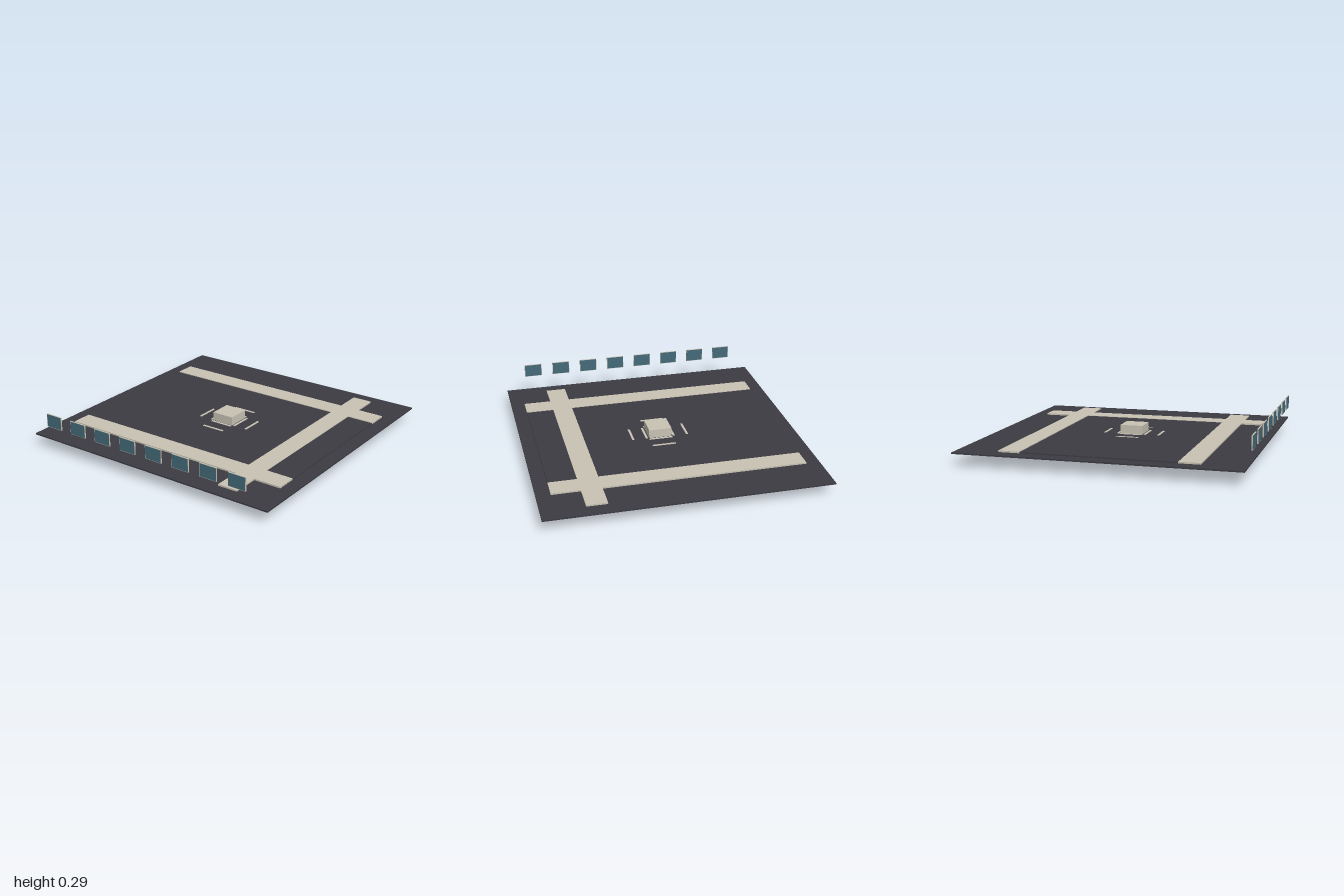
import * as THREE from 'three';

export function createModel() {
  const model = new THREE.Group();
  model.name = 'plaza';

  const material = (name, color) => {
    const m = new THREE.MeshStandardMaterial({ color });
    m.name = name;
    return m;
  };
  const dark = material('dark paving', 0x3c3b42);
  const stone = material('pale stone', 0xc9c3b5);
  const glass = material('teal glass', 0x446a7a);

  // Box given by its limits on each axis
  const box = (name, mat, [x0, x1], [y0, y1], [z0, z1], parent = model) => {
    const mesh = new THREE.Mesh(new THREE.BoxGeometry(x1 - x0, y1 - y0, z1 - z0), mat);
    mesh.position.set((x0 + x1) / 2, (y0 + y1) / 2, (z0 + z1) / 2);
    mesh.name = name;
    parent.add(mesh);
    return mesh;
  };

  const cz = -0.011; // centre of the ground in z
  const top = 0.106; // top of the raised paths

  // Ground plate and the raised field between the paths
  box('groundPlate', dark, [-0.99, 0.99], [0.085, 0.095], [-1, 0.978]);
  box('innerField', dark, [-0.89, 0.89], [0.095, 0.103], [cz - 0.54, cz + 0.54]);

  // Two cross paths and one long path
  for (const s of [-1, 1]) {
    const z = cz + s * 0.618;
    box('crossPath', stone, [-0.89, 0.89], [0.095, top], [z - 0.074, z + 0.074]);
  }
  // Long path in three pieces, so its top does not overlap the cross paths
  const pieces = [[-0.89, -0.692], [-0.544, 0.544], [0.692, 0.89]];
  for (const [a, b] of pieces) {
    box('longPath', stone, [0.545, 0.69], [0.095, top], [cz + a, cz + b]);
  }

  // Central block, running through the ground
  box('centralBlock', stone, [-0.083, 0.083], [0, 0.166], [cz - 0.083, cz + 0.083]);

  // Thin bars in two square rings around the block
  const rings = new THREE.Group();
  rings.name = 'ringBars';
  model.add(rings);
  for (const r of [0.1, 0.2]) {
    for (const s of [-1, 1]) {
      const c = s * r;
      box('sideBar', stone, [c - 0.008, c + 0.008], [0.1, top], [cz - 0.083, cz + 0.083], rings);
      box('endBar', stone, [-0.085, 0.085], [0.1, top], [cz + c - 0.008, cz + c + 0.008], rings);
    }
  }

  // Row of eight window panels along the front
  for (let i = 0; i < 8; i++) {
    const x = (i - 3.5) * 0.2212;
    const win = new THREE.Group();
    win.name = 'window';
    model.add(win);
    box('windowFrame', stone, [x - 0.067, x + 0.067], [0.194, 0.291], [0.991, 0.999], win);
    box('windowPane', glass, [x - 0.064, x + 0.064], [0.197, 0.288], [0.99, 1], win);
  }

  return model;
}
